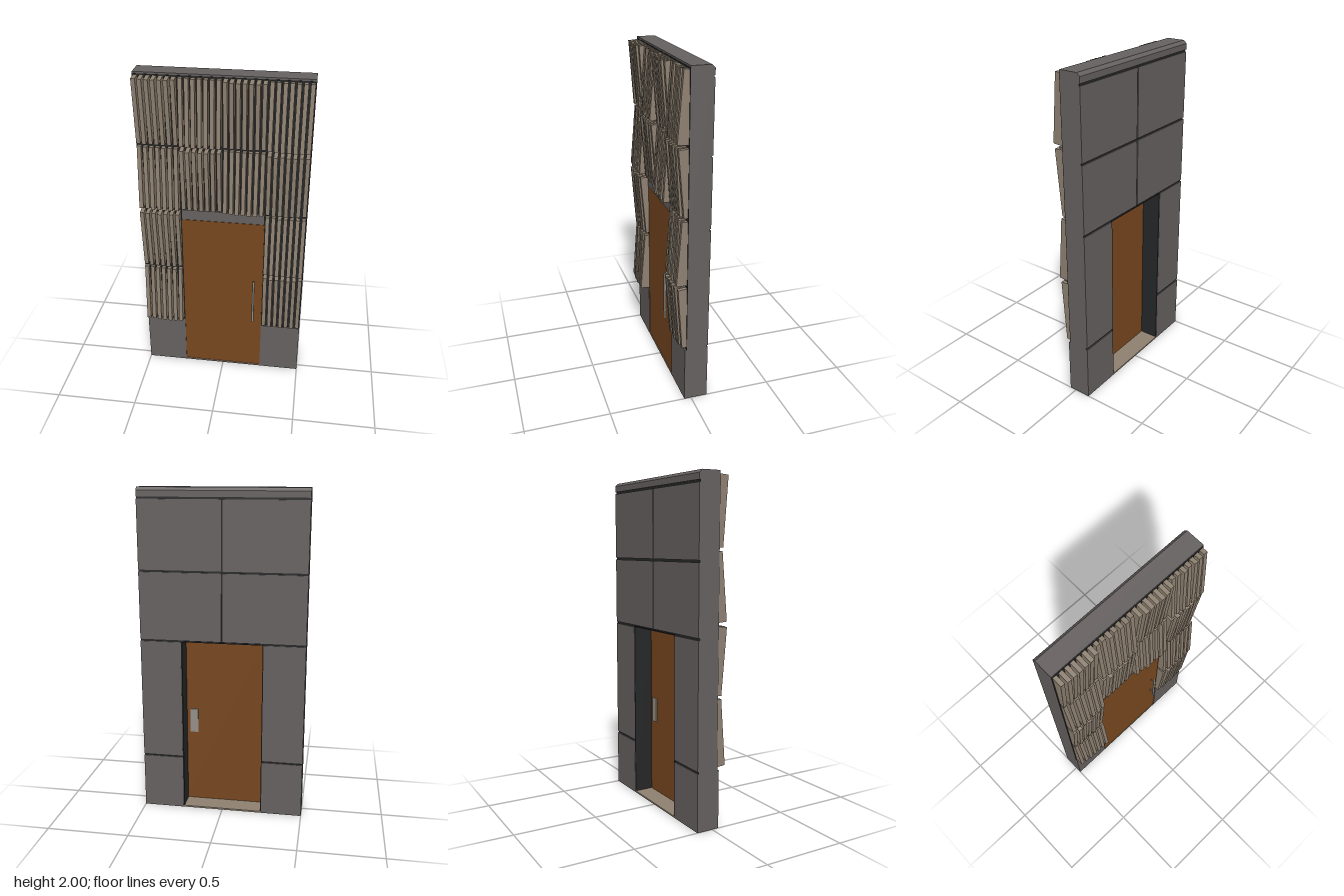
import * as THREE from 'three';

const mat = (name, color) => {
  const m = new THREE.MeshStandardMaterial({ color });
  m.name = name;
  return m;
};

export function createModel() {
  const wall = mat('wallGrey', 0x676161);
  const dark = mat('darkTrim', 0x262728);
  const timber = mat('slatTan', 0x8e8171);
  const wood = mat('doorBrown', 0x78471f);
  const metal = mat('handleMetal', 0x969088);

  const model = new THREE.Group();
  model.name = 'doorWall';

  // Box given by its minimum and maximum on each axis
  const box = (name, m, x0, x1, y0, y1, z0, z1, parent = model) => {
    const mesh = new THREE.Mesh(new THREE.BoxGeometry(x1 - x0, y1 - y0, z1 - z0), m);
    mesh.position.set((x0 + x1) / 2, (y0 + y1) / 2, (z0 + z1) / 2);
    mesh.name = name;
    parent.add(mesh);
    return mesh;
  };

  const BACK = -0.1, CORE = -0.092, FRONT = 0.03, FACE = 0.042;
  const joints = [0.35, 1.1, 1.52, 1.94];
  const gap = 0.006; // half the width of a panel joint

  // Wall core around the doorway, with dark facing behind the slats and in the joints
  for (const s of [-1, 1]) {
    const side = (name, m, a, b, ...r) => box(name, m, Math.min(s * a, s * b), Math.max(s * a, s * b), ...r);
    side('basePlinth', wall, 0.25, 0.5, 0, joints[0] - gap, BACK, FACE);
    side('wallSide', wall, 0.25, 0.5, joints[0] - gap, joints[1], CORE, FRONT);
    side('slatBacking', dark, 0.25, 0.5, joints[0] - gap, 1.175, FRONT, FRONT + 0.002);
    side('jambLining', dark, 0.244, 0.2505, 0.01, joints[1], BACK + 0.001, 0.02);
    side('backPanelLower', wall, 0.25, 0.5, joints[0] + gap, joints[1] - gap, BACK, CORE);
    side('jointStrip', dark, 0.25, 0.499, joints[0] - gap, joints[0] + gap, CORE - 0.002, CORE);
    for (let i = 1; i < 3; i++) {
      side('backPanelUpper', wall, 0.004, 0.5, joints[i] + gap, joints[i + 1] - gap, BACK, CORE);
    }
  }
  box('wallUpper', wall, -0.5, 0.5, joints[1], joints[3], CORE, FRONT);
  box('slatBackingUpper', dark, -0.5, 0.5, 1.175, 1.99, FRONT, FRONT + 0.002);
  box('headLining', dark, -0.25, 0.25, joints[1] - 0.006, joints[1] + 0.001, BACK + 0.001, 0.02);
  for (const y of joints.slice(1)) {
    box('jointStrip', dark, -0.499, 0.499, y - gap, y + gap, CORE - 0.002, CORE);
  }
  box('verticalJoint', dark, -0.004, 0.004, joints[1], joints[3], CORE - 0.002, CORE);

  // Top cap with a chamfered rear edge
  const profile = new THREE.Shape([
    [FRONT, 1.94], [FRONT, 2], [-0.082, 2], [BACK, 1.982], [BACK, 1.946], [CORE, 1.946], [CORE, 1.94],
  ].map(([z, y]) => new THREE.Vector2(-z, y)));
  const cap = new THREE.Mesh(new THREE.ExtrudeGeometry(profile, { depth: 1, bevelEnabled: false }), wall);
  cap.rotation.y = Math.PI / 2;
  cap.position.x = -0.5;
  cap.name = 'topCap';
  model.add(cap);

  // Doorway: lintel, sill and leaf
  box('lintel', wall, -0.25, 0.25, 1.104, 1.17, 0.02, FACE);
  box('sill', timber, -0.25, 0.25, 0, 0.01, BACK, FACE);
  box('door', wood, -0.25, 0.25, 0.01, 1.1, 0.02, 0.038);

  // Pull bar in front, push plate behind
  const rod = (name, r, len, y, z, tilt) => {
    const m = new THREE.Mesh(new THREE.CylinderGeometry(r, r, len, 12), metal);
    m.position.set(0.197, y, z);
    m.rotation.x = tilt;
    m.name = name;
    model.add(m);
  };
  rod('handleBar', 0.007, 0.31, 0.55, 0.07, 0);
  for (const y of [0.45, 0.65]) rod('handleMount', 0.004, 0.032, y, 0.054, Math.PI / 2);
  box('pushPlate', metal, 0.172, 0.222, 0.475, 0.63, 0.014, 0.02);

  // Slats in blocks of seven that tip forward and back in a checkerboard
  const slats = new THREE.Group();
  slats.name = 'slats';
  model.add(slats);
  const reach = [0.074, 0.084, 0.08, 0.084, 0.083, 0.08, 0.072];
  const pitch = 1 / 28, depth = 0.07;
  const slatGeometry = new THREE.BoxGeometry(0.024, 0.388, depth);
  for (let row = 0; row < 4; row++) {
    for (let i = 0; i < 28; i++) {
      const block = Math.floor(i / 7), k = i % 7;
      if (row < 2 && (block === 1 || block === 2)) continue; // doorway
      const topOut = (row + block) % 2 === 1;
      const slat = new THREE.Mesh(slatGeometry, timber);
      const lean = 0.075 + 0.012 * Math.sin(i * 2.3 + row);
      slat.rotation.x = topOut ? lean : -lean;
      slat.position.set(-0.5 + (i + 0.5) * pitch, 0.557 + row * 0.4105,
        reach[topOut ? k : (k + 6) % 7] - depth / 2);
      slat.name = 'slat';
      slats.add(slat);
    }
  }
  return model;
}
